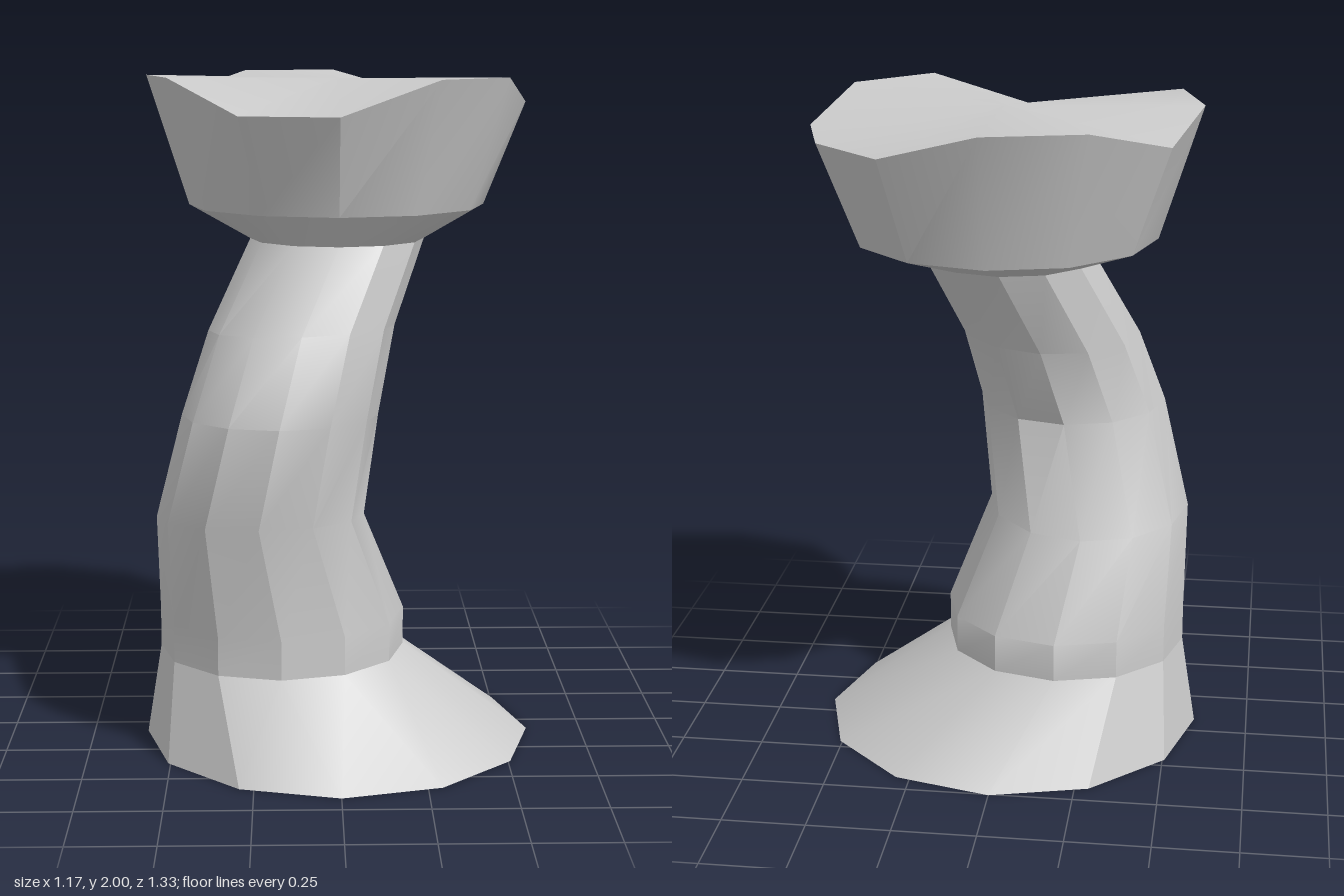
import * as THREE from 'three';
import { toCreasedNormals } from 'three/addons/utils/BufferGeometryUtils.js';

const SIDES = 12;

// Sections of the body: [centre x, centre y, centre z, radius, slope along z, slope along x]
const FOOT = [
  [0, 0, 0.08, 0.585],
  [-0.17, 0.28, 0.085, 0.37],
];
const STEM = [
  [-0.17, 0.28, 0.085, 0.37],
  [-0.17, 0.395, 0.085, 0.37],
  [-0.233, 0.705, 0.165, 0.31, 0.08, 0.01],
  [-0.172, 1.025, 0.233, 0.288, 0.02],
  [-0.108, 1.27, 0.15, 0.275, 0.04, 0.03],
  [0, 1.52, 0.015, 0.26],
  [0, 1.612, -0.095, 0.447],
];
const HEAD = [
  [0, 1.612, -0.095, 0.447],
  [0, 2, -0.095, 0.571],
];

// Uneven rim heights, counted from the front towards +x
const RIM = [1.9, 2, 2, 1.92, 1.92, 1.92, 2, 2, 1.93, 2, 2, 1.9];

function ring([cx, cy, cz, r, slopeZ = 0, slopeX = 0]) {
  return Array.from({ length: SIDES }, (_, j) => {
    const a = (j / SIDES) * Math.PI * 2;
    const dx = Math.sin(a) * r, dz = Math.cos(a) * r;
    return new THREE.Vector3(cx + dx, cy + slopeX * dx + slopeZ * dz, cz + dz);
  });
}

// Skin between rings, with optional fan caps around a centre point
function loft(rings, { bottom, top } = {}) {
  const points = [];
  for (let j = 0; j < SIDES; j++) {
    const k = (j + 1) % SIDES;
    for (let i = 0; i < rings.length - 1; i++) {
      const lo = rings[i], hi = rings[i + 1];
      points.push(lo[j], lo[k], hi[k], lo[j], hi[k], hi[j]);
    }
    if (bottom) points.push(bottom, rings[0][k], rings[0][j]);
    if (top) points.push(top, rings.at(-1)[j], rings.at(-1)[k]);
  }
  const geometry = new THREE.BufferGeometry().setFromPoints(points);
  return toCreasedNormals(geometry, 0.51);
}

export function createModel() {
  const group = new THREE.Group();
  group.name = 'bentPedestal';
  const material = new THREE.MeshStandardMaterial({ color: 0xcccccc });
  const add = (name, geometry) => {
    const mesh = new THREE.Mesh(geometry, material);
    mesh.name = name;
    group.add(mesh);
  };

  // Flared foot, closed underneath
  add('foot', loft(FOOT.map(ring), { bottom: new THREE.Vector3(0, 0, 0.08) }));

  // Crooked stem widening into the underside of the head
  add('stem', loft(STEM.map(ring)));

  // Head with a wavy rim and a closed top
  const headRings = HEAD.map(ring);
  headRings[1].forEach((p, j) => { p.y = RIM[j]; });
  add('head', loft(headRings, { top: new THREE.Vector3(0, 1.99, -0.095) }));

  return group;
}
